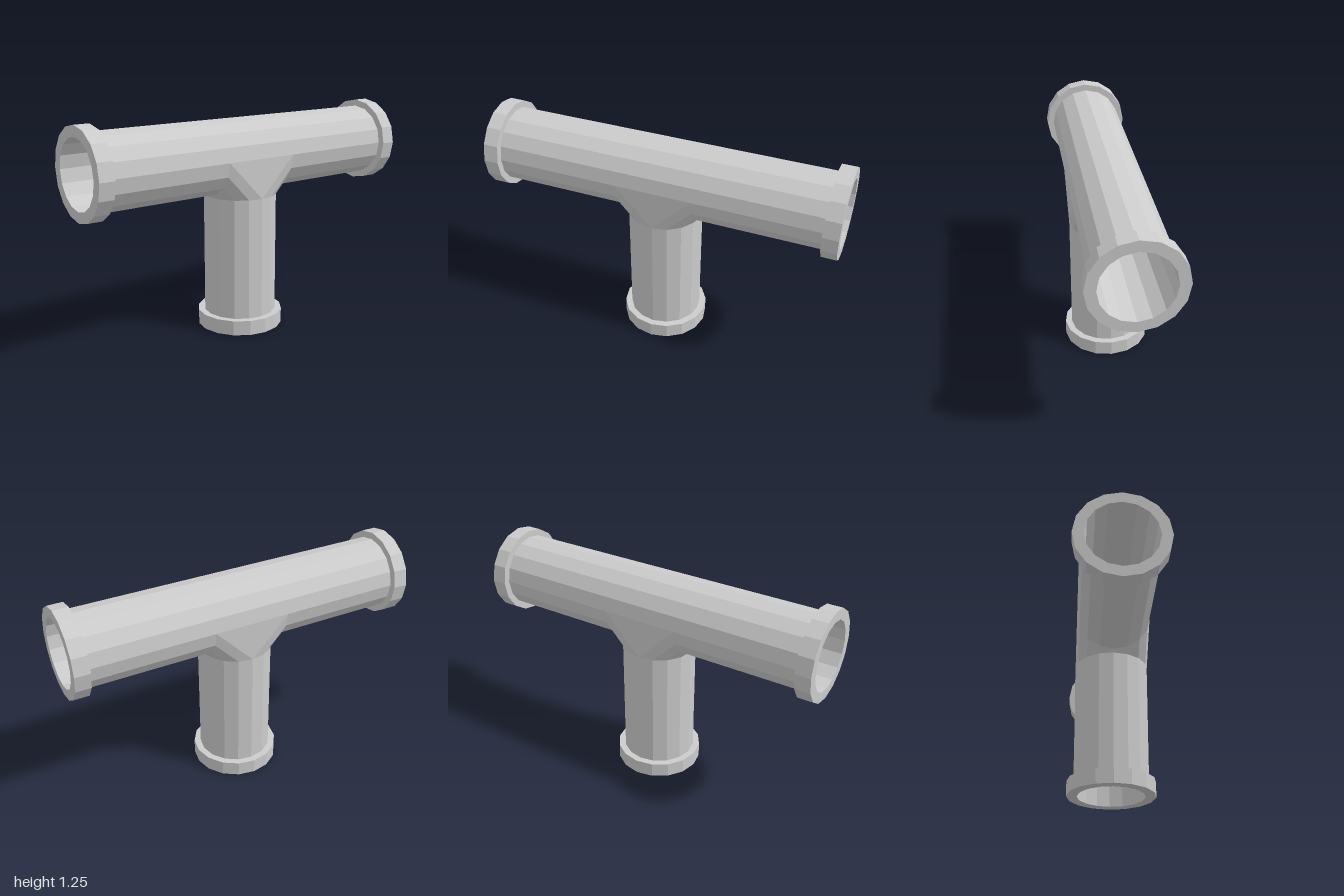
import * as THREE from 'three';

const SIDES = 16;
const R = 0.208;        // pipe radius
const COLLAR_R = 0.246; // collar radius
const BORE_R = 0.188;   // bore radius
const COLLAR = 0.085;   // collar length
const AXIS_Y = 1.002;   // height of the cross pipe's axis
const HALF = 0.22;      // half width of the junction
const STEM_TOP = 0.777; // where the stem meets the junction

const material = new THREE.MeshStandardMaterial({
  color: 0xcccccc, flatShading: true, side: THREE.DoubleSide,
});

function addMesh(parent, name, geometry) {
  const mesh = new THREE.Mesh(geometry, material);
  mesh.name = name;
  parent.add(mesh);
  return mesh;
}

// Pipe arm along +y with an end collar and a blind bore
function armGeometry(start, end, boreBottom) {
  const profile = [
    [R, start], [R, end - COLLAR], [COLLAR_R, end - COLLAR], [COLLAR_R, end],
    [BORE_R, end], [BORE_R, boreBottom], [0, boreBottom],
  ].map(([x, y]) => new THREE.Vector2(x, y));
  return new THREE.LatheGeometry(profile, SIDES);
}

// One side of the junction: a bridge from the arm's lower half ring to the
// stem's half ring, plus the flat triangle that closes the front
function bridgeGeometry() {
  const positions = [];
  const n = SIDES / 2;
  const arm = (k) => {
    const a = (k / n) * Math.PI;
    return [HALF, AXIS_Y - R * Math.sin(a), R * Math.cos(a)];
  };
  const stem = (k) => {
    const a = (k / n) * Math.PI;
    return [R * Math.sin(a), STEM_TOP, R * Math.cos(a)];
  };
  for (let k = 0; k < n; k++) {
    positions.push(...arm(k), ...stem(k), ...arm(k + 1));
    positions.push(...arm(k + 1), ...stem(k), ...stem(k + 1));
  }
  positions.push(-HALF, AXIS_Y, R, 0, STEM_TOP, R, HALF, AXIS_Y, R);
  const geometry = new THREE.BufferGeometry();
  geometry.setAttribute('position', new THREE.Float32BufferAttribute(positions, 3));
  geometry.computeVertexNormals();
  return geometry;
}

export function createModel() {
  const group = new THREE.Group();
  group.name = 'pipeTee';

  // Left and right arms
  for (const [name, side] of [['leftArm', 1], ['rightArm', -1]]) {
    const arm = addMesh(group, name, armGeometry(HALF, 1, 0));
    arm.rotation.z = -side * Math.PI / 2;
    arm.position.y = AXIS_Y;
  }

  // Stem, pointing down to the ground
  const stem = addMesh(group, 'stem', armGeometry(AXIS_Y - STEM_TOP, AXIS_Y, 0.2));
  stem.rotation.x = Math.PI;
  stem.position.y = AXIS_Y;

  // Upper half of the pipe over the junction
  const saddle = new THREE.CylinderGeometry(R, R, HALF * 2, SIDES / 2, 1, true, 0, Math.PI);
  saddle.rotateZ(Math.PI / 2);
  addMesh(group, 'junctionTop', saddle).position.y = AXIS_Y;

  // Lower junction, two halves turned about the stem
  for (const [name, turn] of [['junctionLeft', 0], ['junctionRight', Math.PI]]) {
    addMesh(group, name, bridgeGeometry()).rotation.y = turn;
  }

  return group;
}
